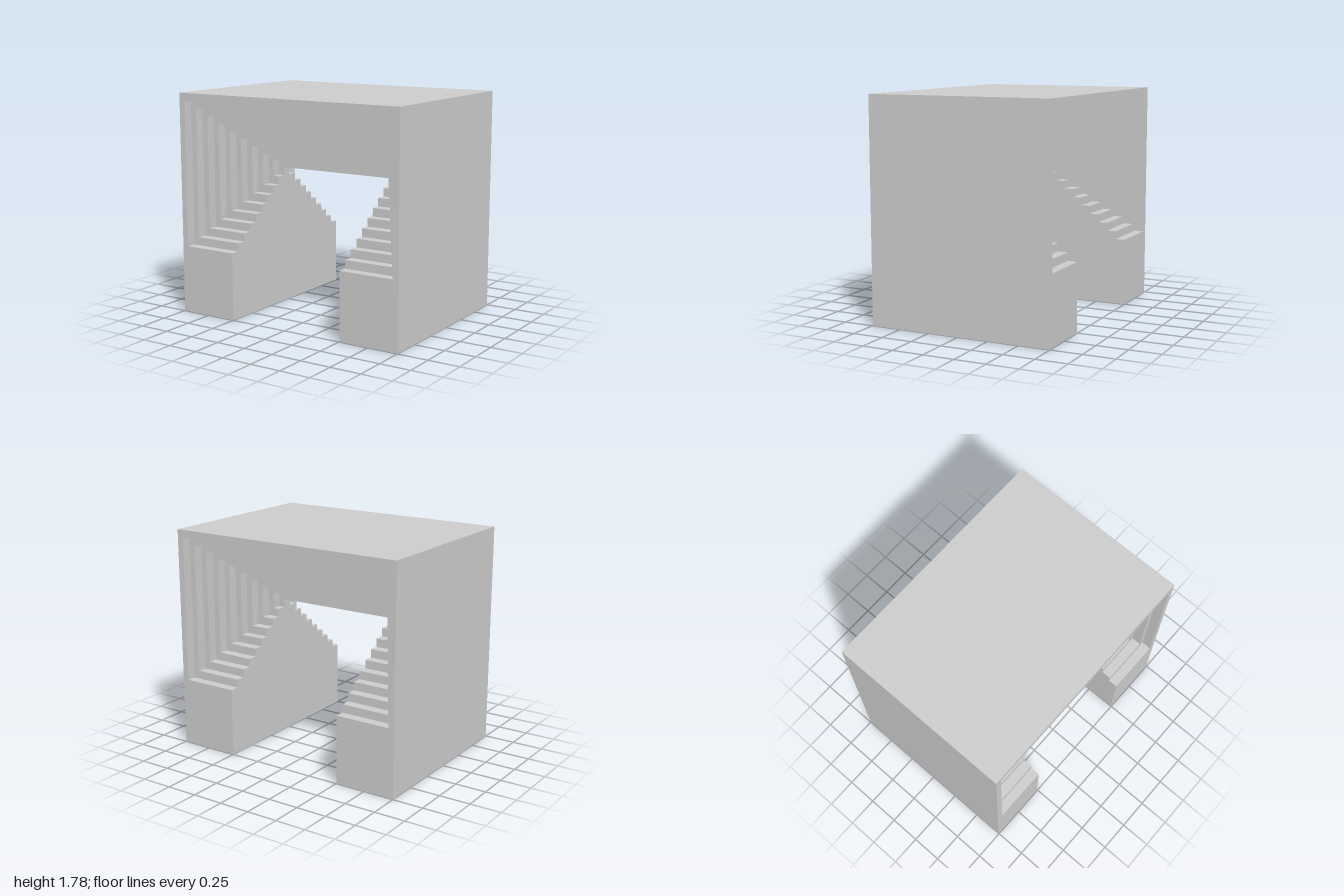
import * as THREE from 'three';
import { mergeGeometries } from 'three/addons/utils/BufferGeometryUtils.js';

const HEIGHT = 1.78, DEPTH = 1.49, DOOR = 0.5, STEPS = 9;
const SLAB = DEPTH / (2 * STEPS + 1);

// Opening outline of recess step i, from the right foot over the top to the left foot
function opening(i) {
  const w = 0.95 - 0.05 * i;
  const top = HEIGHT - 0.0645 * (i + 1);
  const ledge = 0.545 + 0.0655 * i;
  const half = i < STEPS
    ? [[DOOR, 0], [DOOR, ledge], [w, ledge], [w, top]]
    : [[DOOR, 0], [DOOR, top]];
  return [...half, ...half.map(([x, y]) => [-x, y]).reverse()];
}

// Flat-shaded strip along z; its front lies to the left of the path
function strip(path, z0, z1) {
  const pos = [];
  for (let k = 0; k < path.length - 1; k++) {
    const [ax, ay] = path[k], [bx, by] = path[k + 1];
    pos.push(ax, ay, z0, ax, ay, z1, bx, by, z1);
    pos.push(ax, ay, z0, bx, by, z1, bx, by, z0);
  }
  const g = new THREE.BufferGeometry();
  g.setAttribute('position', new THREE.Float32BufferAttribute(pos, 3));
  g.computeVertexNormals();
  return g;
}

// Flat face between an outer and an inner outline
function band(outer, inner, z) {
  const pts = [...outer, ...inner.slice().reverse()].map(([x, y]) => new THREE.Vector2(x, y));
  const g = new THREE.ShapeGeometry(new THREE.Shape(pts)).toNonIndexed();
  g.deleteAttribute('uv');
  return g.translate(0, 0, z);
}

export function createModel() {
  const group = new THREE.Group();
  const material = new THREE.MeshStandardMaterial({ color: 0xcccccc });
  const add = (name, geometry) => {
    const mesh = new THREE.Mesh(geometry, material);
    mesh.name = name;
    group.add(mesh);
    return mesh;
  };

  // Outer block: soles, sides and roof
  const outer = [[-1, 0], [-1, HEIGHT], [1, HEIGHT], [1, 0]];
  add('outerShell', strip([[-DOOR, 0], ...outer, [DOOR, 0]], -DEPTH / 2, DEPTH / 2));

  // Stepped recess: one face and one reveal per step
  const parts = [];
  for (let i = 0; i <= STEPS; i++) {
    const z = DEPTH / 2 - i * SLAB;
    const inner = opening(i);
    // Past the first face, the door jambs are shared, so the feet points drop out
    if (i === 0) parts.push(band(outer.slice().reverse(), inner, z));
    else parts.push(band(opening(i - 1).slice(1, -1), inner.slice(1, -1), z));
    if (i < STEPS) parts.push(strip(inner, z - SLAB, z));
  }
  const recess = mergeGeometries(parts);
  add('frontRecess', recess);
  add('backRecess', recess).rotation.y = Math.PI;

  // Narrowest arch in the middle
  add('middleArch', strip(opening(STEPS), -SLAB / 2, SLAB / 2));
  return group;
}
